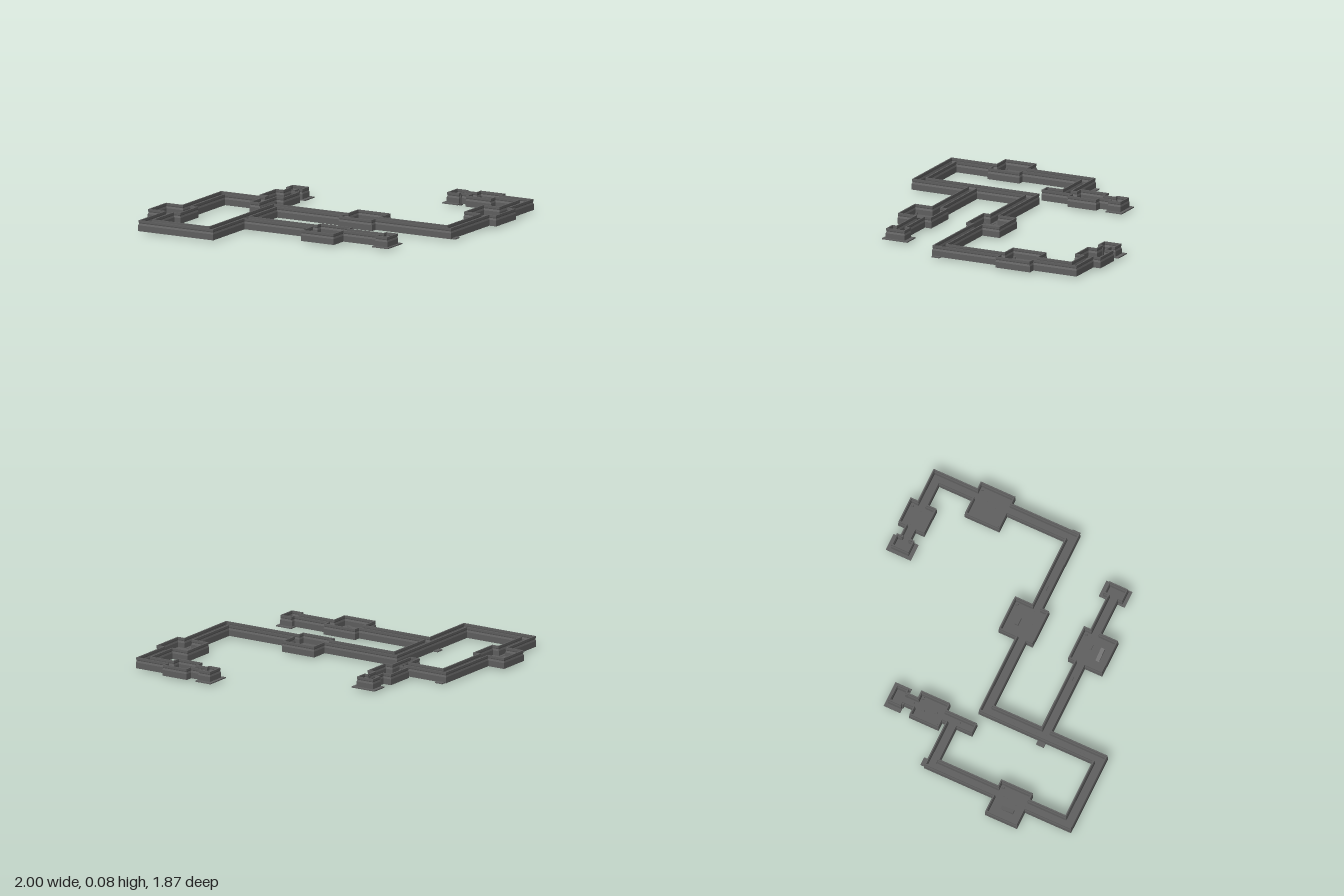
import * as THREE from 'three';

const stone = new THREE.MeshStandardMaterial({ color: 0x5e5e5e, flatShading: true, side: THREE.DoubleSide });

// Plan rectangles: [x0, z0, x1, z1]
const corridors = [
  [-0.56, -0.42, -0.485, 0.09], [-0.88, -0.095, -0.485, -0.02], [-0.88, -0.095, -0.805, 0.93],
  [-0.88, 0.855, -0.33, 0.93], [-0.405, 0.06, -0.33, 0.93], [-0.405, 0.06, 0.945, 0.135],
  [0.87, -0.89, 0.945, 0.135], [0.62, -0.89, 0.945, -0.815], [0.43, -0.89, 0.62, -0.815],
  [-0.405, 0.465, 0.68, 0.54],
];
const rooms = [
  [-0.615, -0.325, -0.435, -0.12], [-1, 0.385, -0.76, 0.61], [0.145, -0.06, 0.39, 0.18],
  [0.755, -0.585, 0.995, -0.34], [0.525, -0.94, 0.71, -0.755], [0.155, 0.42, 0.395, 0.66],
];
const endRooms = [
  [-0.585, -0.485, -0.46, -0.395], [0.365, -0.915, 0.455, -0.79], [0.645, 0.435, 0.735, 0.57],
];
// Wider plates beneath the end rooms, and small landings outside the corners
const plates = [
  [-0.61, -0.505, -0.435, -0.39], [0.345, -0.94, 0.46, -0.765], [0.635, 0.41, 0.75, 0.59],
];
const landings = [
  [-0.87, -0.125, -0.815, -0.09], [0.94, 0.07, 0.97, 0.125], [-0.435, 0.475, -0.4, 0.53],
];

// Outline of the union of rectangles as one loop of corners, interior on the right
function traceOutline(rects) {
  const sorted = k => [...new Set(rects.flatMap(r => [r[k], r[k + 2]]))].sort((a, b) => a - b);
  const xs = sorted(0), zs = sorted(1);
  const filled = (i, j) => {
    if (i < 0 || j < 0 || i >= xs.length - 1 || j >= zs.length - 1) return false;
    const x = (xs[i] + xs[i + 1]) / 2, z = (zs[j] + zs[j + 1]) / 2;
    return rects.some(r => x > r[0] && x < r[2] && z > r[1] && z < r[3]);
  };
  const next = new Map();
  const edge = (i, j, k, l) => next.set(`${i},${j}`, [k, l]);
  for (let i = 0; i < xs.length - 1; i++) for (let j = 0; j < zs.length - 1; j++) {
    if (!filled(i, j)) continue;
    if (!filled(i, j - 1)) edge(i, j, i + 1, j);
    if (!filled(i + 1, j)) edge(i + 1, j, i + 1, j + 1);
    if (!filled(i, j + 1)) edge(i + 1, j + 1, i, j + 1);
    if (!filled(i - 1, j)) edge(i, j + 1, i, j);
  }
  const start = next.keys().next().value;
  const loop = [];
  let key = start;
  do {
    const [i, j] = key.split(',').map(Number);
    loop.push(new THREE.Vector2(xs[i], zs[j]));
    key = next.get(key).join(',');
  } while (key !== start);
  // keep only true corners
  return loop.filter((p, i) => {
    const a = loop[(i + loop.length - 1) % loop.length], b = loop[(i + 1) % loop.length];
    return Math.abs((p.x - a.x) * (b.y - p.y) - (p.y - a.y) * (b.x - p.x)) > 1e-9;
  });
}

// Sweep a closed [inset, height] profile round the outline with mitred corners
function sweepWall(loop, profile) {
  const n = loop.length, m = profile.length, pos = [], idx = [];
  const inward = i => {
    const d = loop[(i + 1) % n].clone().sub(loop[i % n]).normalize();
    return new THREE.Vector2(-d.y, d.x);
  };
  for (let i = 0; i < n; i++) {
    const mitre = inward(i + n - 1).add(inward(i));
    for (const [inset, y] of profile) pos.push(loop[i].x + mitre.x * inset, y, loop[i].y + mitre.y * inset);
    for (let j = 0; j < m; j++) {
      const a = i * m + j, d = i * m + (j + 1) % m;
      const b = ((i + 1) % n) * m + j, c = ((i + 1) % n) * m + (j + 1) % m;
      idx.push(a, d, c, a, c, b);
    }
  }
  const g = new THREE.BufferGeometry();
  g.setAttribute('position', new THREE.Float32BufferAttribute(pos, 3));
  g.setIndex(idx);
  const flat = g.toNonIndexed();
  flat.computeVertexNormals();
  return flat;
}

export function createModel() {
  const model = new THREE.Group();
  model.name = 'dungeonMap';
  const add = (name, geometry) => {
    const mesh = new THREE.Mesh(geometry, stone);
    mesh.name = name;
    model.add(mesh);
    return mesh;
  };
  const box = (name, x0, y0, z0, x1, y1, z1) => {
    const mesh = add(name, new THREE.BoxGeometry(x1 - x0, y1 - y0, z1 - z0));
    mesh.position.set((x0 + x1) / 2, (y0 + y1) / 2, (z0 + z1) / 2);
    return mesh;
  };

  // Floor slab and moulded wall around all passages
  const outline = traceOutline([...corridors, ...rooms, ...endRooms]);
  const shape = new THREE.Shape(outline.map(p => new THREE.Vector2(p.x, -p.y)));
  const floor = new THREE.ExtrudeGeometry(shape, { depth: 0.007, bevelEnabled: false });
  floor.rotateX(-Math.PI / 2).translate(0, 0.01, 0);
  add('floor', floor);
  add('walls', sweepWall(outline, [
    [0, 0.01], [0, 0.048], [0.004, 0.06], [0.002, 0.066], [0.002, 0.08],
    [0.011, 0.08], [0.011, 0.066], [0.009, 0.06], [0.013, 0.048], [0.013, 0.012],
  ]));
  for (const [x0, z0, x1, z1] of plates) box('endPlate', x0, 0.009, z0, x1, 0.016, z1);
  for (const [x0, z0, x1, z1] of landings) box('landing', x0, 0.009, z0, x1, 0.016, z1);

  // Raised flagstones along the corridors
  for (const [x0, z0, x1, z1] of corridors) {
    const alongX = x1 - x0 > z1 - z0, length = Math.max(x1 - x0, z1 - z0);
    for (let s = 0.05, k = 0; s < length - 0.05; s += 0.08, k++) {
      const side = k % 2 ? 0.019 : 0.04;
      const [x, z] = alongX ? [x0 + s, z0 + side] : [x0 + side, z0 + s];
      const [w, d] = alongX ? [0.035, 0.016] : [0.016, 0.035];
      box('flagstone', x, 0.016, z, x + w, 0.0185, z + d);
    }
  }

  // Rubble blocks in the corners of the rooms
  for (const [x0, z0, x1, z1] of rooms) {
    for (const [x, z, s] of [[x0 + 0.025, z1 - 0.025, 0.014], [x1 - 0.026, z0 + 0.026, 0.018]]) {
      box('rubble', x - s / 2, 0.016, z - s / 2, x + s / 2, 0.016 + s, z + s / 2).rotation.y = 0.3;
    }
  }

  // Door posts reaching below the floor at the two rear end rooms
  for (const x of [-0.56, -0.49]) box('doorPost', x - 0.01, 0, -0.4, x + 0.01, 0.07, -0.385);
  for (const z of [-0.88, -0.82]) box('doorPost', 0.445, 0, z - 0.01, 0.46, 0.07, z + 0.01);

  // Sloping slabs and a low chest in the large rooms
  const wedge = new THREE.Shape([[0, 0], [0.09, 0], [0.09, 0.025]].map(p => new THREE.Vector2(...p)));
  for (const [x, z, turn] of [[-0.925, 0.455, -Math.PI / 2], [0.23, 0.575, 0]]) {
    const slab = add('fallenSlab', new THREE.ExtrudeGeometry(wedge, { depth: 0.025, bevelEnabled: false }));
    slab.position.set(x + (turn ? 0.025 : 0), 0.016, z);
    slab.rotation.y = turn;
  }
  box('chest', 0.235, 0.016, 0.01, 0.285, 0.036, 0.035);

  return model;
}
